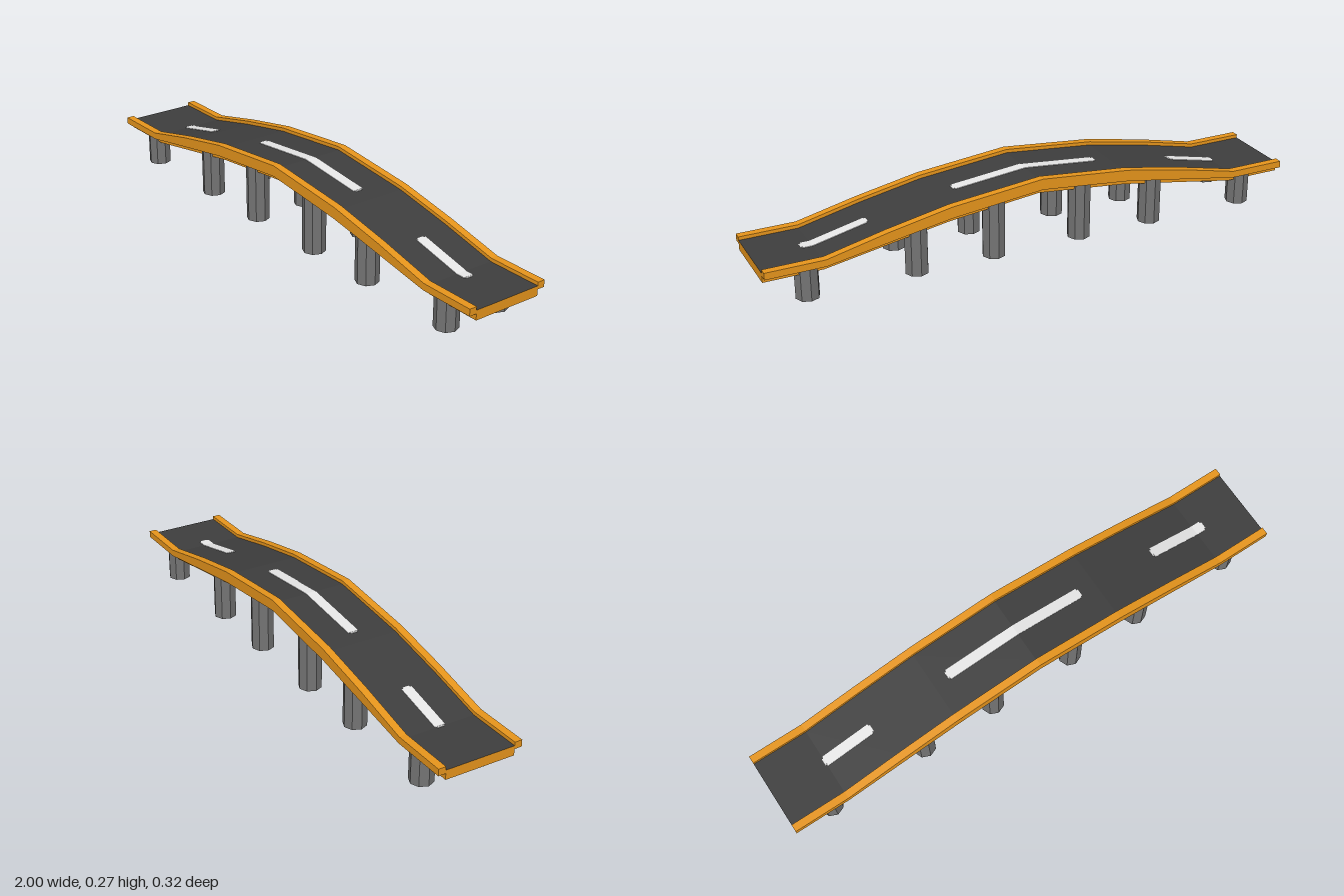
import * as THREE from 'three';

const mat = (name, color) => Object.assign(new THREE.MeshStandardMaterial({ color }), { name });

// Right half of the bridge profile: [x, rail top, rail bottom]
const HALF = [[0, 0.274, 0.234], [0.34, 0.24, 0.198], [0.57, 0.196, 0.159], [0.79, 0.146, 0.121], [1, 0.146, 0.121]];
const PROFILE = [...HALF.slice(1).reverse().map(([x, t, b]) => [-x, t, b]), ...HALF];

function heightAt(x, k) {
  for (let i = 1; i < PROFILE.length; i++) {
    const a = PROFILE[i - 1], b = PROFILE[i];
    if (x <= b[0]) return a[k] + (b[k] - a[k]) * (x - a[0]) / (b[0] - a[0]);
  }
  return PROFILE[PROFILE.length - 1][k];
}
const railTop = x => heightAt(x, 1);
const railBottom = x => heightAt(x, 2);
const deckTop = x => railTop(x) - 0.0128;
const deckBottom = x => railBottom(x) - 0.023;

// Slab following the arch from x0 to x1, extruded across z0..z1
function archSlab(x0, x1, top, bottom, z0, z1) {
  const xs = [x0, ...PROFILE.map(p => p[0]).filter(x => x > x0 && x < x1), x1];
  const pts = [
    ...xs.map(x => new THREE.Vector2(x, bottom(x))),
    ...xs.slice().reverse().map(x => new THREE.Vector2(x, top(x))),
  ];
  const geo = new THREE.ExtrudeGeometry(new THREE.Shape(pts), { depth: z1 - z0, bevelEnabled: false });
  return geo.translate(0, 0, z0);
}

// Sort faces into groups: 0 = sides and ends, 1 = top, 2 = underside
function groupByDirection(geo) {
  const normal = geo.attributes.normal;
  geo.clearGroups();
  for (let i = 0; i < normal.count; i += 3) {
    const ny = normal.getY(i);
    geo.addGroup(i, 3, ny > 0.5 ? 1 : ny < -0.5 ? 2 : 0);
  }
  return geo;
}

export function createModel() {
  const orange = mat('orange paint', 0xe8961c);
  const asphalt = mat('dark asphalt', 0x3e3e3e);
  const concrete = mat('grey concrete', 0x747474);
  const white = mat('road marking', 0xececec);

  const model = new THREE.Group();
  model.name = 'roadBridge';
  const add = (name, geo, material, parent = model) => {
    const mesh = new THREE.Mesh(geo, material);
    mesh.name = name;
    parent.add(mesh);
    return mesh;
  };

  // Deck: orange sides and ends, asphalt on top, concrete underneath
  add('deck', groupByDirection(archSlab(-1, 1, deckTop, deckBottom, -0.13, 0.13)), [orange, asphalt, concrete]);

  // Rails along both edges
  for (const s of [-1, 1]) {
    const z = s * 0.144;
    add(s > 0 ? 'frontRail' : 'backRail', archSlab(-1, 1, railTop, railBottom, z - 0.014, z + 0.014), orange);
  }

  // Centre line dashes, each with narrower tips
  const markTop = x => deckTop(x) + 0.002;
  const tipTop = x => deckTop(x) + 0.0015;
  for (const [x0, x1] of [[-0.795, -0.595], [-0.285, 0.275], [0.59, 0.83]]) {
    const dash = new THREE.Group();
    dash.name = 'centreDash';
    add('dashBody', archSlab(x0 + 0.006, x1 - 0.006, markTop, deckTop, -0.021, 0.018), white, dash);
    add('dashTips', archSlab(x0, x1, tipTop, deckTop, -0.014, 0.012), white, dash);
    model.add(dash);
  }

  // Octagonal pillars in pairs
  for (const x of [-0.845, -0.46, -0.17, 0.165, 0.455, 0.845]) {
    const h = railBottom(x) + 0.004;
    for (const z of [-0.1065, 0.1065]) {
      const geo = new THREE.CylinderGeometry(0.042, 0.042, h, 8).toNonIndexed();
      geo.computeVertexNormals();
      add('pillar', geo, concrete).position.set(x, h / 2, z);
    }
  }
  return model;
}
